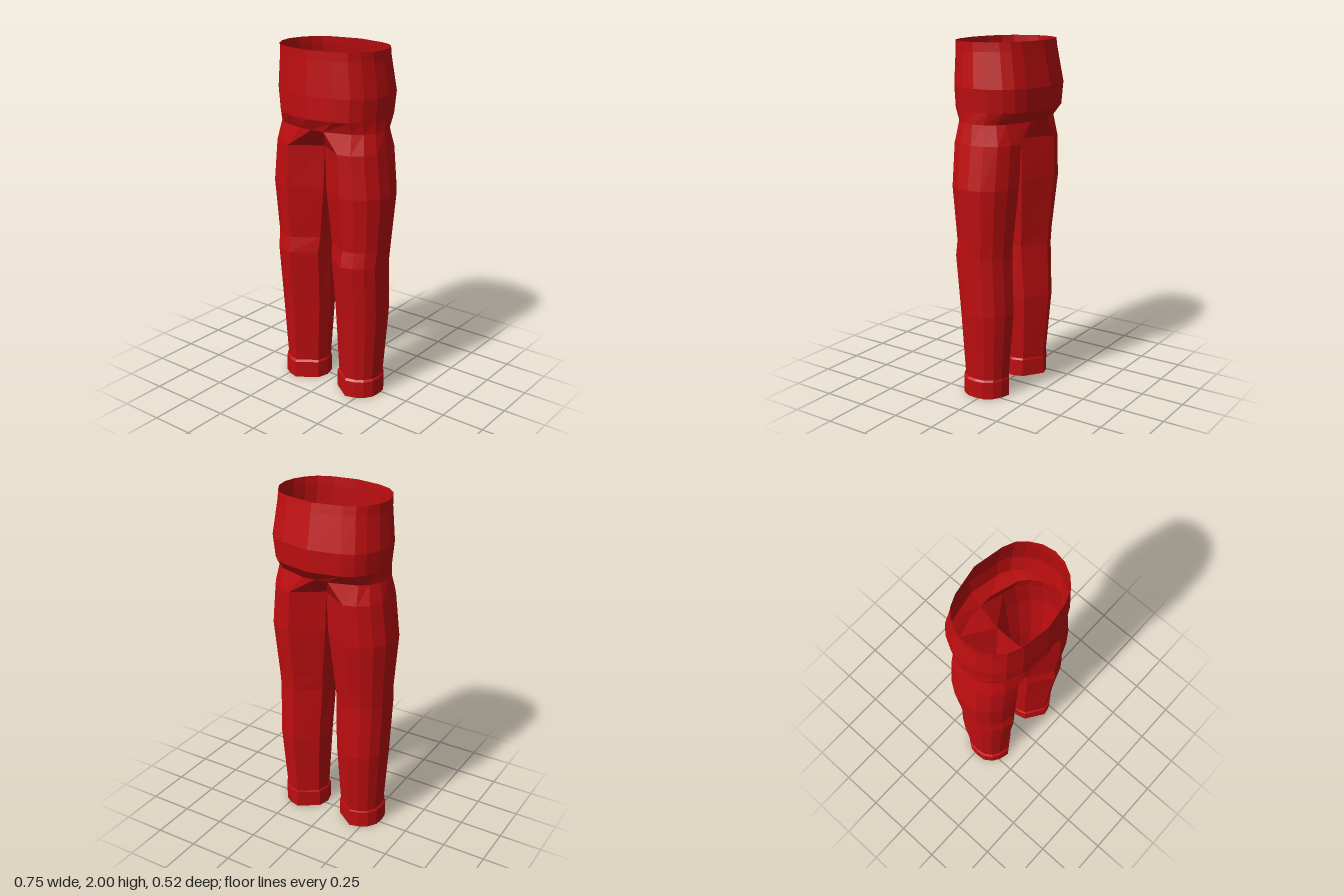
import * as THREE from 'three';

const red = new THREE.MeshStandardMaterial({ color: 0xbf0e10, flatShading: true, side: THREE.DoubleSide });
red.name = 'red cloth';

// Outer half of a cross-section, front to back: [x share, z share]
const OUTER_LEG = [[-0.03, 1], [0.38, 0.9], [0.72, 0.7], [0.95, 0.38], [1, 0],
  [0.95, -0.38], [0.72, -0.7], [0.38, -0.9], [-0.03, -1]];
const OUTER_WAIST = [[0.45, 0.91], [0.7, 0.77], [0.85, 0.57], [0.96, 0.3], [1, 0],
  [0.96, -0.3], [0.85, -0.57], [0.72, -0.75], [0.52, -0.87]];

// Leg levels: y, inner x, inner corner x, outer x, back z, front z
const LEG = [
  [0.1, 0.062, 0.08, 0.315, -0.115, 0.155],
  [0.5, 0.038, 0.06, 0.342, -0.15, 0.18],
  [0.82, 0.03, 0.048, 0.348, -0.14, 0.21],
  [0.91, 0.026, 0.042, 0.352, -0.145, 0.195],
  [1.22, 0.004, 0.01, 0.375, -0.18, 0.22],
  [1.46, 0, 0, 0.347, -0.185, 0.22],
];
const CUFF = [
  [0, 0.054, 0.072, 0.325, -0.12, 0.167],
  [0.1, 0.054, 0.072, 0.325, -0.12, 0.167],
  [0.112, 0.062, 0.08, 0.315, -0.115, 0.155],
];
// Waist levels: y, half width, back z, front z
const WAIST = [
  [1.57, 0.33, -0.19, 0.225],
  [1.635, 0.328, -0.255, 0.26],
  [1.76, 0.342, -0.262, 0.262],
  [1.95, 0.32, -0.224, 0.256],
  [2, 0.32, -0.215, 0.256],
];

function legRing([y, xi, xc, xo, zb, zf]) {
  const cx = (xi + xo) / 2, w = (xo - xi) / 2, cz = (zb + zf) / 2, d = (zf - zb) / 2;
  const ring = OUTER_LEG.map(([u, v]) => [cx + u * w, y, cz + v * d]);
  ring.push([xc, y, cz - 0.46 * d], [xi, y, cz], [xc, y, cz + 0.46 * d]);
  return ring;
}

function waistHalf([y, w, zb, zf], level) {
  const cz = (zb + zf) / 2, d = (zf - zb) / 2;
  return OUTER_WAIST.map(([u, v], i) => {
    // the lowest level reaches in towards the crotch
    if (level === 0 && (i === 0 || i === 8)) return [0.08, y, cz + Math.sign(v) * d * 0.99];
    return [u * w, y, cz + v * d];
  });
}

const mirror = (points) => points.map(([x, y, z]) => [-x, y, z]).reverse();

// Quads between successive rings, counter-clockwise from outside
function loft(rings, closed) {
  const out = [];
  for (let r = 0; r + 1 < rings.length; r++) {
    const a = rings[r], b = rings[r + 1], n = a.length;
    for (let i = 0; i < (closed ? n : n - 1); i++) {
      const j = (i + 1) % n;
      out.push(a[i], a[j], b[j], a[i], b[j], b[i]);
    }
  }
  return out;
}

function part(name, points) {
  const geometry = new THREE.BufferGeometry();
  geometry.setAttribute('position', new THREE.Float32BufferAttribute(points.flat(), 3));
  geometry.computeVertexNormals();
  const mesh = new THREE.Mesh(geometry, red);
  mesh.name = name;
  return mesh;
}

export function createModel() {
  const model = new THREE.Group();
  model.name = 'trousers';

  // Waist and seat
  const halves = WAIST.map(waistHalf);
  const waistRings = WAIST.map(([y, , zb, zf], k) =>
    [[0, y, zf], ...halves[k], [0, y, zb], ...mirror(halves[k])]);
  model.add(part('waist', loft(waistRings, true)));

  const legRings = LEG.map(legRing), cuffRings = CUFF.map(legRing);
  const top = legRings[legRings.length - 1];
  const front = waistRings[0][0], back = waistRings[0][10];
  const gusset = [
    [top[11], top[0], halves[0][0], front],
    [back, halves[0][8], top[8], top[9]],
  ];

  for (const [side, flip] of [['left', false], ['right', true]]) {
    const turn = (points) => (flip ? mirror(points) : points);
    // Leg tube, hip strip joining it to the waist, and turned-up cuff
    model.add(part(side + 'Leg', loft(legRings.map(turn), true)));
    model.add(part(side + 'Hip', loft([turn(top.slice(0, 9)), turn(halves[0])], false)));
    model.add(part(side + 'Cuff', loft(cuffRings.map(turn), true)));
    // Sloping crotch panels, front and back
    const panels = gusset.flatMap((q) => {
      const [a, b, c, d] = turn(q);
      return [a, b, c, a, c, d];
    });
    model.add(part(side + 'Crotch', panels));
  }
  return model;
}
